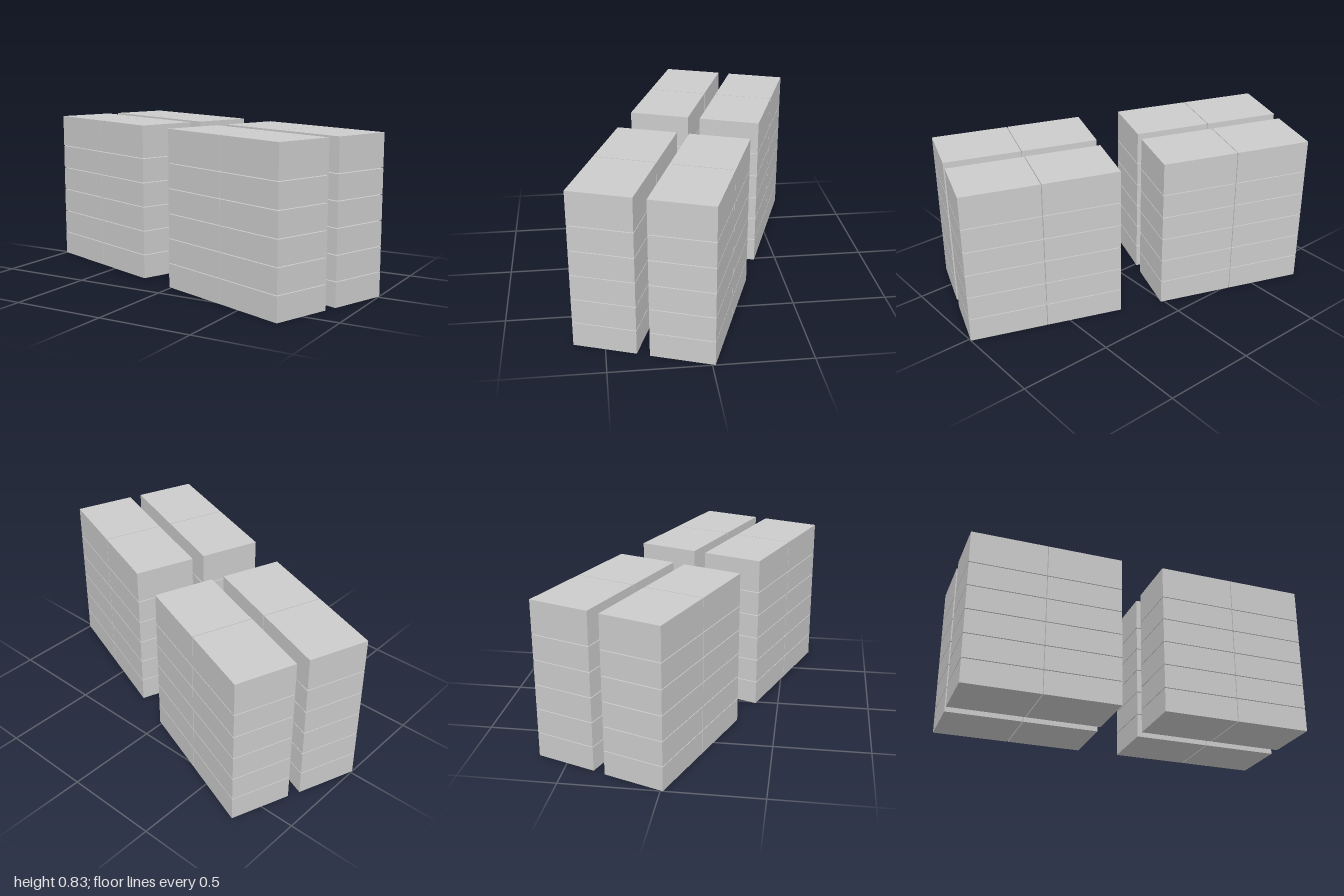
import * as THREE from 'three';

const LENGTH = 0.818, DEPTH = 0.324, HEIGHT = 0.835;
const LAYERS = 6, PITCH = 0.132, GAP = 0.004;

export function createModel() {
  const model = new THREE.Group();
  model.name = 'stackedBoxes';
  const material = new THREE.MeshStandardMaterial({ color: 0xcccccc });
  const width = (LENGTH - GAP) / 2;

  // One stack: two columns of six boxes, the top box being taller
  function makeStack(name, x, z) {
    const stack = new THREE.Group();
    stack.name = name;
    for (let layer = 0; layer < LAYERS; layer++) {
      const bottom = layer * PITCH;
      const height = layer === LAYERS - 1 ? HEIGHT - bottom : PITCH - GAP;
      const geometry = new THREE.BoxGeometry(width, height, DEPTH);
      for (const side of [-1, 1]) {
        const box = new THREE.Mesh(geometry, material);
        box.name = layer === LAYERS - 1 ? 'topBox' : 'box';
        box.position.set(side * (width + GAP) / 2, bottom + height / 2, 0);
        stack.add(box);
      }
    }
    stack.position.set(x, 0, z);
    stack.rotation.y = -THREE.MathUtils.degToRad(20);
    model.add(stack);
  }

  // Two pairs of parallel stacks, separated by a wide aisle
  makeStack('backRightStack', -0.423, -0.365);
  makeStack('frontRightStack', -0.56, 0);
  makeStack('backLeftStack', 0.56, -0.003);
  makeStack('frontLeftStack', 0.425, 0.363);
  return model;
}
